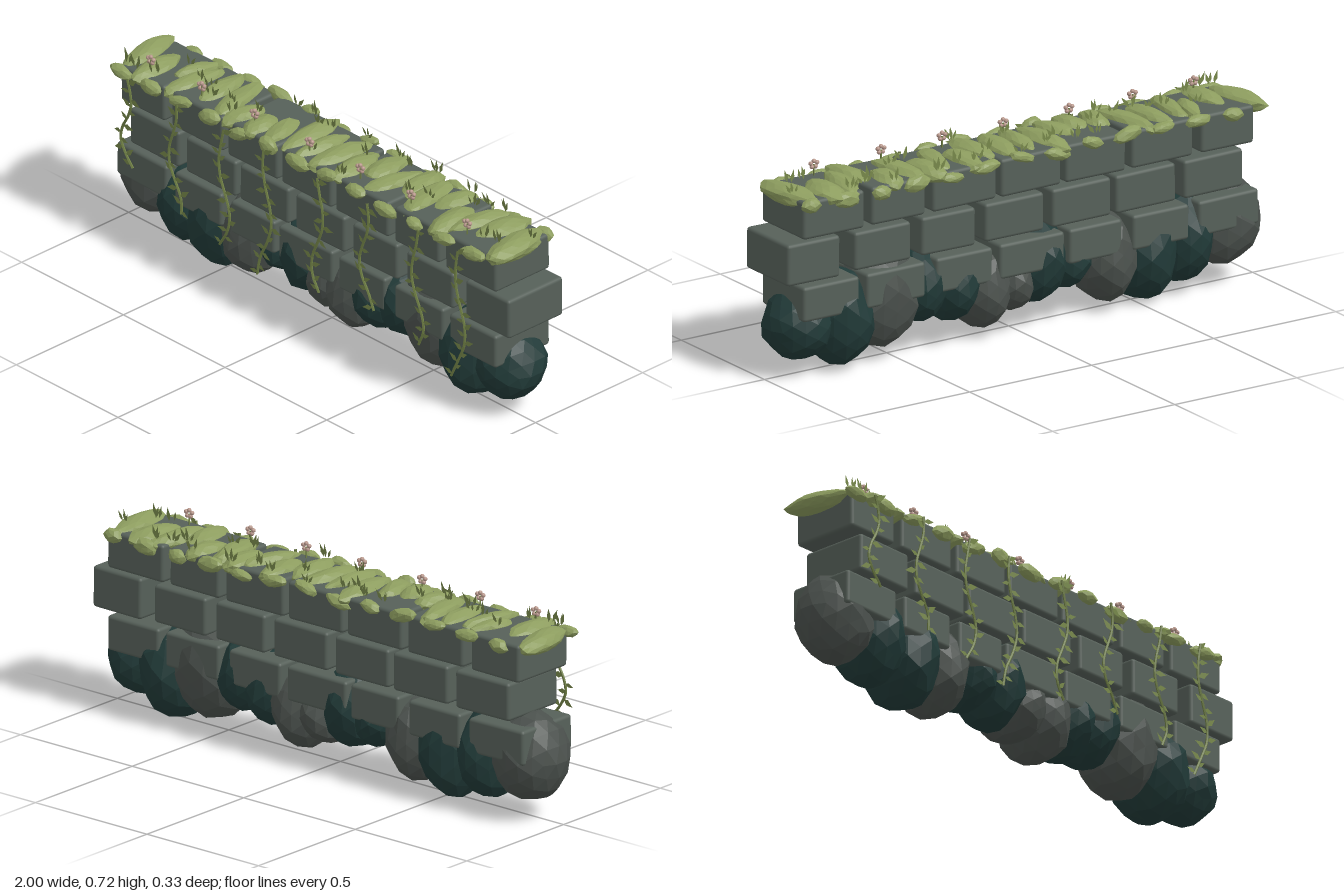
import * as THREE from 'three';
import { RoundedBoxGeometry } from 'three/addons/geometries/RoundedBoxGeometry.js';

const material = (name, color, extra = {}) => {
  const m = new THREE.MeshStandardMaterial({ color, ...extra });
  m.name = name;
  return m;
};

// Small seeded generator
function seeded(seed) {
  return () => {
    seed = (seed * 16807) % 2147483647;
    return seed / 2147483647;
  };
}

// Faceted lump: a unit icosphere whose corners are pushed in and out by a smooth rule
function lumpGeometry(detail, phase, amount) {
  const geo = new THREE.IcosahedronGeometry(1, detail);
  const p = geo.attributes.position;
  const v = new THREE.Vector3();
  for (let i = 0; i < p.count; i++) {
    v.fromBufferAttribute(p, i);
    const k = 1 + amount * Math.sin(v.x * 4 + phase) * Math.cos(v.y * 5 - phase * 2 + v.z * 3);
    p.setXYZ(i, v.x * k, v.y * k, v.z * k);
  }
  geo.computeVertexNormals();
  return geo;
}

export function createModel() {
  const model = new THREE.Group();
  model.name = 'mossyWall';
  const rnd = seeded(4711);
  const range = (a, b) => a + (b - a) * rnd();

  const stone = material('stone', 0x566059);
  const greyRock = material('greyRock', 0x4b514d, { flatShading: true });
  const tealRock = material('tealRock', 0x213a38, { flatShading: true });
  const moss = material('moss', 0x8d9d5f, { flatShading: true });
  const vineGreen = material('vineGreen', 0x6f7f45, { flatShading: true });
  const leafGreen = material('leafGreen', 0x76874a, { side: THREE.DoubleSide });
  const blossom = material('blossom', 0xb8988c, { flatShading: true });

  const group = (name) => {
    const g = new THREE.Group();
    g.name = name;
    model.add(g);
    return g;
  };
  const add = (parent, name, geo, mat, x, y, z) => {
    const m = new THREE.Mesh(geo, mat);
    m.name = name;
    m.position.set(x, y, z);
    parent.add(m);
    return m;
  };

  // Three courses of rounded blocks: [bottom, top, [[left, right], ...]]
  const courses = [
    [0.225, 0.35, [[-0.935, -0.69], [-0.65, -0.42], [-0.375, -0.16], [-0.14, 0.125],
      [0.155, 0.385], [0.43, 0.67], [0.70, 0.93]]],
    [0.365, 0.513, [[-0.87, -0.63], [-0.595, -0.35], [-0.33, -0.09], [-0.055, 0.185],
      [0.225, 0.445], [0.49, 0.72], [0.78, 0.995]]],
    [0.52, 0.655, [[-0.915, -0.70], [-0.665, -0.415], [-0.39, -0.145], [-0.125, 0.12],
      [0.14, 0.40], [0.43, 0.65], [0.68, 0.93]]],
  ];
  const blocks = group('blocks');
  courses.forEach(([y0, y1, spans], row) => spans.forEach(([x0, x1], i) => {
    const trim = row === 1 && i < 6 ? 0.012 : 0;
    const geo = new RoundedBoxGeometry(x1 - x0, y1 - y0 - trim, 0.255, 2, 0.012);
    const b = add(blocks, 'block', geo, stone, (x0 + x1) / 2, (y0 + y1) / 2, -0.0075);
    b.rotation.z = range(-0.012, 0.012);
  }));

  // Foundation boulders: [x, y, rx, ry, rz, teal]
  const boulders = [
    [-0.86, 0.225, 0.14, 0.16, 0.132, 0], [-0.69, 0.2, 0.11, 0.17, 0.14, 1],
    [-0.53, 0.18, 0.12, 0.18, 0.145, 1], [-0.375, 0.19, 0.11, 0.16, 0.14, 0],
    [-0.21, 0.22, 0.085, 0.11, 0.13, 1], [-0.09, 0.235, 0.105, 0.16, 0.14, 1],
    [0.03, 0.18, 0.09, 0.11, 0.135, 0], [0.14, 0.18, 0.11, 0.15, 0.14, 0],
    [0.26, 0.22, 0.105, 0.14, 0.14, 1], [0.39, 0.24, 0.10, 0.14, 0.135, 1],
    [0.55, 0.23, 0.15, 0.19, 0.14, 0], [0.715, 0.18, 0.125, 0.175, 0.15, 1],
    [0.87, 0.182, 0.125, 0.13, 0.125, 1],
  ];
  const base = group('boulders');
  boulders.forEach(([x, y, rx, ry, rz, teal], i) => {
    const b = add(base, teal ? 'tealBoulder' : 'greyBoulder', lumpGeometry(2, i * 1.7, 0.05),
      teal ? tealRock : greyRock, x, y, -0.01);
    b.scale.set(rx, ry, rz);
  });

  // Moss pads across the top: [x, z, rx, rz, turn]
  const pads = [
    [-0.92, -0.02, 0.05, 0.135, 0.2], [-0.82, 0.04, 0.05, 0.115, 0.05], [-0.71, -0.04, 0.035, 0.09, -0.25],
    [-0.66, 0.01, 0.04, 0.13, -0.15], [-0.56, -0.02, 0.045, 0.12, 0.1], [-0.47, -0.01, 0.045, 0.14, 0.2],
    [-0.38, 0.05, 0.045, 0.09, -0.15], [-0.29, 0.06, 0.05, 0.08, 0.1], [-0.21, 0.04, 0.045, 0.1, 0.25],
    [-0.125, -0.02, 0.05, 0.14, 0.08], [-0.04, 0.01, 0.04, 0.12, -0.1], [0.045, 0, 0.05, 0.135, -0.12],
    [0.14, 0.02, 0.05, 0.115, 0.1], [0.22, -0.05, 0.05, 0.105, 0], [0.31, 0, 0.045, 0.125, -0.25],
    [0.38, -0.06, 0.05, 0.1, 0.1], [0.46, -0.01, 0.05, 0.13, 0.15], [0.545, -0.06, 0.05, 0.09, -0.1],
    [0.63, 0.04, 0.05, 0.11, 0.1], [0.70, -0.02, 0.045, 0.125, -0.2], [0.79, -0.05, 0.06, 0.11, -0.15],
    [0.90, 0, 0.055, 0.14, 0.12],
  ];
  const mossGroup = group('moss');
  pads.forEach(([x, z, rx, rz, turn], i) => {
    const m = add(mossGroup, 'mossPad', lumpGeometry(2, i * 2.3, 0.08), moss, x, 0.645, z);
    m.scale.set(rx, 0.034, rz);
    m.rotation.y = turn;
  });

  // Small moss clumps spilling over the long edges
  for (let i = 0; i < 26; i++) {
    const back = i % 2;
    const m = add(mossGroup, 'mossClump', lumpGeometry(1, i * 1.3, 0.1), moss,
      -0.9 + i * 0.072, range(0.63, 0.65), back ? -0.135 : 0.128);
    m.scale.set(range(0.035, 0.06), range(0.018, 0.03), 0.025);
    m.rotation.z = range(-0.3, 0.3);
  }

  // Pointed flat leaf, one unit long, shared by vines and grass
  const leafShape = new THREE.Shape([[0, 0], [0.2, 0.4], [0, 1], [-0.2, 0.4]]
    .map(([x, y]) => new THREE.Vector2(x, y)));
  const leafGeo = new THREE.ShapeGeometry(leafShape);

  // Hanging vines: [x, lowest y]
  const vines = [[-0.84, 0.31], [-0.61, 0.23], [-0.37, 0.19], [-0.16, 0.15],
    [0.10, 0.2], [0.33, 0.24], [0.58, 0.2], [0.79, 0.145]];
  vines.forEach(([x, low], n) => {
    const vine = group('vine');
    const pts = [];
    for (let i = 0; i <= 7; i++) {
      const t = i / 7;
      pts.push(new THREE.Vector3(x + 0.03 * Math.sin(t * 7 + n * 1.4) * (0.4 + t),
        0.645 + (low - 0.645) * t, 0.159));
    }
    const path = new THREE.CatmullRomCurve3(pts);
    add(vine, 'stem', new THREE.TubeGeometry(path, 24, 0.005, 5), vineGreen, 0, 0, 0);
    const count = Math.round((0.645 - low) / 0.028);
    for (let i = 0; i < count; i++) {
      const p = path.getPoint((i + 0.6) / count);
      const side = i % 2 ? 1 : -1;
      const leaf = add(vine, 'leaf', leafGeo, leafGreen, p.x, p.y, p.z + 0.001);
      const size = range(0.035, 0.055);
      leaf.scale.set(size * 1.1, size, size);
      leaf.rotation.set(0, range(-0.15, 0.15), side * range(0.7, 2.0));
    }
  });

  // Grass tufts standing in the moss
  const grass = group('grass');
  for (let i = 0; i < 30; i++) {
    const x = -0.92 + i * 0.0635 + range(-0.02, 0.02);
    const z = range(-0.14, 0.11);
    for (let k = 0; k < 3; k++) {
      const blade = add(grass, 'blade', leafGeo, leafGreen,
        x + k * 0.008, 0.667, z + range(-0.01, 0.01));
      const h = range(0.03, 0.052);
      blade.scale.set(h * 0.8, h, h);
      blade.rotation.z = (1 - k) * 0.4 + range(-0.3, 0.3);
    }
  }

  // Little blossoms: a stalk with a cluster of buds
  const bud = new THREE.IcosahedronGeometry(0.008, 1);
  const stalk = new THREE.CylinderGeometry(0.003, 0.003, 0.04, 5);
  [-0.81, -0.56, -0.3, -0.03, 0.22, 0.47, 0.745].forEach((x) => {
    const flower = group('flower');
    add(flower, 'stalk', stalk, vineGreen, x, 0.68, 0.077);
    [[0, 0.712], [-0.013, 0.705], [0.013, 0.705], [-0.007, 0.692], [0.008, 0.692]]
      .forEach(([dx, y]) => add(flower, 'bud', bud, blossom, x + dx, y, 0.077));
  });

  return model;
}
